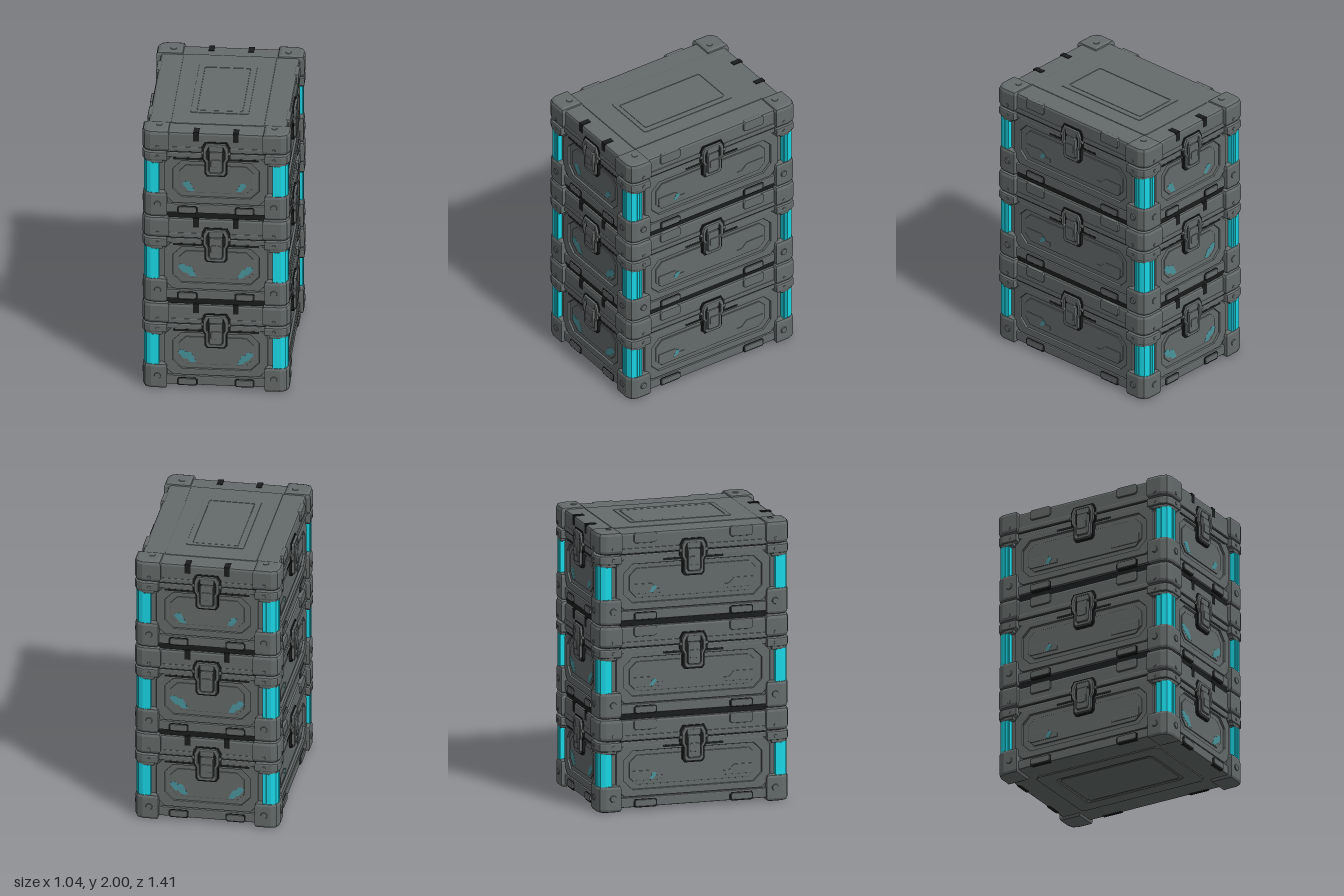
import * as THREE from 'three';

const mat = (name, color) => {
  const m = new THREE.MeshStandardMaterial({ color });
  m.name = name;
  return m;
};

export function createModel() {
  const grey = mat('gunmetal', 0x646b6a);
  const black = mat('black gap', 0x1a1d1d);
  const cyan = mat('cyan light', 0x1ceafa);
  const teal = mat('worn teal paint', 0x4a949c);

  const add = (parent, name, geometry, material = grey) => {
    const m = new THREE.Mesh(geometry, material);
    m.name = name;
    parent.add(m);
    return m;
  };
  const shapeOf = pts => new THREE.Shape(pts.map(p => new THREE.Vector2(p[0], p[1])));

  // Rectangle with cut corners, centred on cx, cy
  const octagon = (hw, hh, c, cx = 0, cy = 0) => [
    [hw - c, -hh], [hw, -hh + c], [hw, hh - c], [hw - c, hh],
    [-hw + c, hh], [-hw, hh - c], [-hw, -hh + c], [-hw + c, -hh],
  ].map(([x, y]) => [x + cx, y + cy]);

  // Bevelled extrusion from depth a to depth b
  const slab = (pts, a, b, bevel, hole) => {
    const s = shapeOf(pts);
    if (hole) s.holes.push(new THREE.Path(hole.map(p => new THREE.Vector2(p[0], p[1]))));
    const g = new THREE.ExtrudeGeometry(s, {
      depth: b - a - 2 * bevel, bevelEnabled: bevel > 0, bevelSize: bevel,
      bevelThickness: bevel, bevelOffset: -bevel, bevelSegments: 2, curveSegments: 6,
    });
    return g.translate(0, 0, a + bevel);
  };
  // Same, standing upright between two heights
  const upright = (pts, y0, y1, bevel, hole) => slab(pts, y0, y1, bevel, hole).rotateX(-Math.PI / 2);
  const box = (w, h, d, x, y, z) => new THREE.BoxGeometry(w, h, d).translate(x, y, z);

  // Corner block footprint for one quadrant
  const cornerShape = (sx, sz, ix, iz, ox, oz, c) => [
    [ix, iz], [ox, iz], [ox, oz - c], [ox - c * 0.3, oz - c * 0.3], [ox - c, oz], [ix, oz],
  ].map(([x, z]) => [x * sx, z * sz]);

  const bolt = (parent, x, y, z, r) => {
    const g = new THREE.CylinderGeometry(r * 0.8, r, 0.014, 12).rotateX(Math.PI / 2);
    add(parent, 'bolt', g.translate(x, y, z));
  };

  // Loop clasp with a buckle
  const addLatch = (side, d) => {
    const latch = new THREE.Group();
    latch.name = 'latch';
    const outer = [[-0.055, 0.33], [0.055, 0.33], [0.07, 0.35], [0.07, 0.43], [0.088, 0.46],
      [0.088, 0.535], [0.068, 0.575], [-0.068, 0.575], [-0.088, 0.535], [-0.088, 0.46],
      [-0.07, 0.43], [-0.07, 0.35]];
    const inner = outer.map(([x, y]) => [x * 0.72, 0.455 + (y - 0.455) * 0.82]);
    const recess = outer.map(([x, y]) => [x * 1.15, 0.455 + (y - 0.455) * 1.08]);
    add(latch, 'latchRecess', slab(recess, d - 0.06, d - 0.021, 0), black);
    add(latch, 'latchLoop', slab(outer, d - 0.045, d - 0.004, 0.008, inner));
    add(latch, 'latchBuckle', slab(octagon(0.046, 0.08, 0.012, 0, 0.435), d - 0.03, d, 0.008));
    add(latch, 'latchTab', slab(octagon(0.034, 0.03, 0.008, 0, 0.43), d - 0.005, d + 0.006, 0.003));
    add(latch, 'latchHook', slab(octagon(0.05, 0.026, 0.008, 0, 0.54), d - 0.045, d - 0.008, 0.006));
    for (const s of [-1, 1]) {
      const pin = new THREE.CylinderGeometry(0.012, 0.012, 0.03, 8).rotateZ(Math.PI / 2);
      add(latch, 'latchPin', pin.translate(s * 0.088, 0.5, d - 0.02));
    }
    side.add(latch);
  };

  // Details of one wall: w is half its width, d its distance from the centre
  const addSide = (crate, angle, w, d, isEnd, isTop) => {
    const side = new THREE.Group();
    side.name = isEnd ? 'endWall' : 'longWall';
    side.rotation.y = angle;
    const wall = d - 0.045;
    const hw = isEnd ? 0.3 : 0.5;

    // Raised frame around a cut-corner panel
    add(side, 'panelFrame', slab(octagon(hw + 0.06, 0.185, 0.06, 0, 0.285), wall - 0.01, wall + 0.017, 0.006,
      octagon(hw, 0.137, 0.06, 0, 0.287)));
    add(side, 'panelInset', slab(octagon(hw - 0.04, 0.105, 0.05, 0, 0.287), wall - 0.01, wall + 0.008, 0.004));
    add(side, 'rimShadow', slab(octagon(isEnd ? 0.3 : 0.22, 0.008, 0.004, 0, 0.446), wall, wall + 0.0185, 0), black);
    if (!isEnd) {
      for (const s of [-1, 1]) {
        const bar = [[0.22, 0.21], [0.43, 0.21], [0.44, 0.22], [0.44, 0.28], [0.3, 0.28], [0.26, 0.24], [0.22, 0.24]];
        add(side, 'panelRib', slab(bar.map(([x, y]) => [x * s, y]), wall, wall + 0.012, 0.003));
      }
    }
    // Worn paint marks: [x, y, mirror, scale]
    const marks = !isEnd ? [[-0.29, 0.24, 1, 0.75]]
      : isTop ? [[-0.19, 0.228, -1, 1.2], [0.175, 0.23, 1, 1]]
        : [[-0.225, 0.255, -1, 1.1], [-0.18, 0.235, -1, 1.25], [0.185, 0.225, 1, 1.1], [0.22, 0.25, 1, 1.1]];
    const stroke = [[-0.035, -0.03], [0, -0.03], [0.038, 0.015], [0.02, 0.032], [-0.005, 0.03]];
    const front = wall + (isEnd ? 0.009 : 0.013);
    for (const [x, y, s, k] of marks) {
      const pts = stroke.map(([px, py]) => [x + px * s * k, y + py * k]);
      add(side, 'paintMark', slab(pts, front - 0.003, front, 0), teal);
    }

    // Bottom rail with pads
    add(side, 'bottomRail', slab(octagon(w - 0.16, 0.035, 0.01, 0, 0.06), wall - 0.02, wall + 0.02, 0.008));
    const padX = isEnd ? 0.2 : 0.35, padW = isEnd ? 0.07 : 0.085;
    for (const s of [-1, 1]) {
      add(side, 'padGap', slab(octagon(padW, 0.03, 0.012, s * padX, 0.052), wall, wall + 0.023, 0), black);
      add(side, 'pad', slab(octagon(padW - 0.008, 0.023, 0.01, s * padX, 0.054), wall, wall + 0.032, 0.005));
      // Lid notches on the ends, lid grips on the long walls
      if (isEnd) add(side, 'lidNotch', box(0.04, 0.07, 0.075, s * 0.138, 0.619, d - 0.06), black);
      else add(side, 'lidGrip', slab(octagon(padW, 0.038, 0.015, s * 0.35, 0.612), d - 0.05, d - 0.014, 0.008));
      // Bolts on the corner guards
      bolt(side, s * (w - 0.11), 0.1, d, 0.027);
      bolt(side, s * (w - 0.11), 0.468, d, 0.014);
      bolt(side, s * (w - 0.11), 0.545, d, 0.014);
    }
    addLatch(side, d + 0.003);
    crate.add(side);
  };

  const makeCrate = isTop => {
    const crate = new THREE.Group();
    crate.name = 'crate';

    // Body, rim, seam and lid
    add(crate, 'body', upright(octagon(0.465, 0.653, 0.05), 0.025, 0.47, 0.012));
    add(crate, 'bodyRim', upright(octagon(0.482, 0.67, 0.04), 0.455, 0.495, 0.008));
    add(crate, 'seam', upright(octagon(0.478, 0.666, 0.04), 0.485, 0.515, 0), black);
    add(crate, 'lidRim', upright(octagon(0.49, 0.678, 0.04), 0.502, 0.54, 0.008));
    add(crate, 'lid', upright(octagon(0.484, 0.674, 0.04), 0.51, 0.65, 0.018));
    if (isTop) {
      add(crate, 'lidPanel', upright(octagon(0.325, 0.535, 0.012), 0.64, 0.655, 0.005));
      add(crate, 'lidPanelFrame', upright(octagon(0.203, 0.369, 0.01), 0.65, 0.659, 0.003,
        octagon(0.16, 0.335, 0.008)));
      add(crate, 'lidPanelCentre', upright(octagon(0.157, 0.332, 0.008), 0.65, 0.658, 0.002));
    } else {
      // Dark filler up to the crate above
      add(crate, 'stackGap', upright(octagon(0.468, 0.658, 0.04), 0.64, 0.7, 0), black);
    }

    // Underside panel
    add(crate, 'basePanel', upright(octagon(0.32, 0.5, 0.03), 0.015, 0.035, 0.005, octagon(0.22, 0.39, 0.02)));
    add(crate, 'baseCentre', upright(octagon(0.2, 0.37, 0.02), 0.018, 0.035, 0.004));

    // Corner guards and light strips
    for (const sx of [-1, 1]) for (const sz of [-1, 1]) {
      const corner = new THREE.Group();
      corner.name = 'corner';
      const cut = (...a) => cornerShape(sx, sz, ...a);
      add(corner, 'footGuard', upright(cut(0.34, 0.53, 0.51, 0.698, 0.06), 0, 0.19, 0.022));
      add(corner, 'lightStrip', upright(cut(0.395, 0.595, 0.498, 0.688, 0.045), 0.17, 0.43, 0), cyan);
      for (const k of [0.415, 0.437]) {
        add(corner, 'lightRib', box(0.01, 0.23, 0.006, sx * k, 0.3, sz * 0.689), cyan);
        add(corner, 'lightRib', box(0.006, 0.23, 0.01, sx * 0.499, 0.3, sz * (k + 0.195)), cyan);
      }
      add(corner, 'lightBracket', upright(cut(0.37, 0.565, 0.505, 0.692, 0.06), 0.412, 0.46, 0.012));
      add(corner, 'rimGuard', upright(cut(0.34, 0.53, 0.515, 0.7, 0.06), 0.435, 0.5, 0.012));
      add(corner, 'lidGuard', upright(cut(0.325, 0.525, 0.515, 0.7, 0.06), 0.505, 0.666, 0.026));
      const top = new THREE.CylinderGeometry(0.02, 0.026, 0.01, 12);
      add(corner, 'bolt', top.translate(sx * 0.4, 0.664, sz * 0.59));
      crate.add(corner);
    }

    addSide(crate, 0, 0.515, 0.697, true, isTop);
    addSide(crate, Math.PI, 0.515, 0.697, true, isTop);
    addSide(crate, Math.PI / 2, 0.7, 0.511, false, isTop);
    addSide(crate, -Math.PI / 2, 0.7, 0.511, false, isTop);
    return crate;
  };

  // Stack of three
  const model = new THREE.Group();
  model.name = 'crateStack';
  for (let i = 0; i < 3; i++) {
    const crate = makeCrate(i === 2);
    crate.position.y = i * 0.666;
    model.add(crate);
  }
  return model;
}
